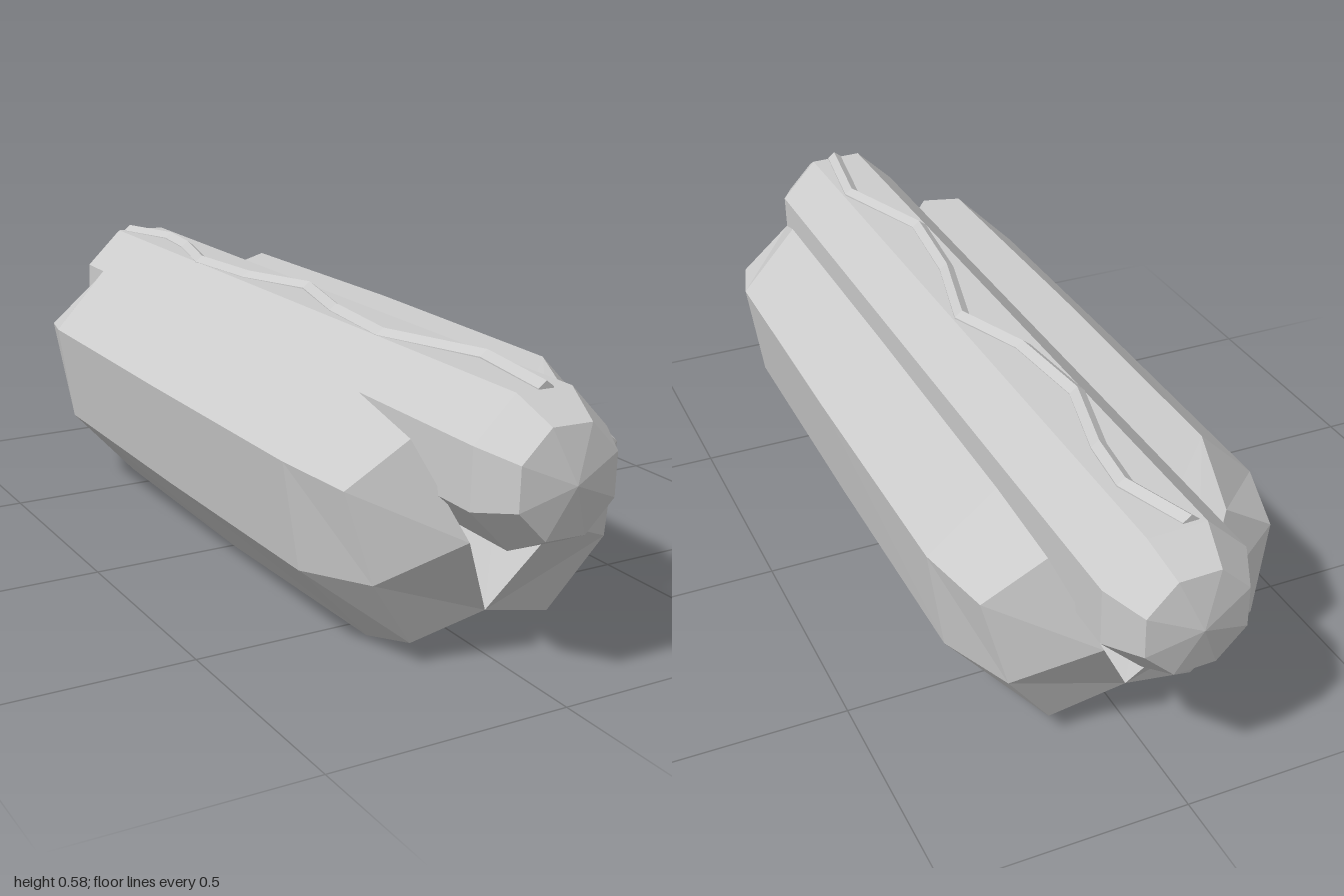
import * as THREE from 'three';

const material = new THREE.MeshStandardMaterial({ color: 0xcccccc, flatShading: true });

// Skins rings of [x, y, z] corners (anticlockwise seen from +z, ordered by rising z).
// Cap faces are lists of corner numbers, anticlockwise at the front end.
function loft(name, rings, capFaces) {
  const n = rings[0].length;
  const position = [];
  const index = [];
  rings.forEach(ring => ring.forEach(p => position.push(...p)));
  for (let i = 0; i < rings.length - 1; i++) {
    for (let j = 0; j < n; j++) {
      const a = i * n + j, b = i * n + (j + 1) % n;
      index.push(a, b, b + n, a, b + n, a + n);
    }
  }
  const last = (rings.length - 1) * n;
  for (const face of capFaces) {
    for (let k = 1; k < face.length - 1; k++) {
      const [a, b, c] = [face[0], face[k], face[k + 1]];
      index.push(last + a, last + b, last + c, a, c, b);
    }
  }
  const geometry = new THREE.BufferGeometry();
  geometry.setAttribute('position', new THREE.Float32BufferAttribute(position, 3));
  geometry.setIndex(index);
  const flat = geometry.toNonIndexed();
  flat.computeVertexNormals();
  const mesh = new THREE.Mesh(flat, material);
  mesh.name = name;
  return mesh;
}

// Bun: one half section from bottom middle, round the outside, to the inner fold
function createBun() {
  const middle = [[0, 0.02, 0], [0.17, 0, 0], [0.322, 0.175, 0], [0.357, 0.4, 0],
    [0.22, 0.537, 0], [0.11, 0.312, 0], [0, 0.09, 0]];
  const shoulder = [[0, 0.03, 0.58], [0.168, 0.01, 0.58], [0.32, 0.177, 0.58], [0.354, 0.4, 0.58],
    [0.219, 0.532, 0.6], [0.11, 0.31, 0.62], [0, 0.09, 0.6]];
  const end = [[0, 0.09, 0.74], [0.16, 0.05, 0.725], [0.265, 0.2, 0.76], [0.31, 0.38, 0.73],
    [0.187, 0.467, 0.755], [0.1, 0.275, 0.825], [0, 0.09, 0.74]];
  const ring = (half, side) => [
    ...half,
    ...half.slice(1, 6).reverse().map(([x, y, z]) => [-x, y, z])
  ].map(([x, y, z]) => [x, y, z * side]);
  return loft('bun',
    [ring(end, -1), ring(shoulder, -1), ring(middle, 1), ring(shoulder, 1), ring(end, 1)],
    [[6, 1, 2, 5], [5, 2, 3, 4], [6, 7, 10, 11], [7, 8, 9, 10]]);
}

// Sausage: eight-sided rod with rounded ends
function createSausage() {
  const stations = [[-1, 0], [-0.975, 0.113], [-0.89, 0.159], [0.89, 0.159], [0.975, 0.113], [1, 0]];
  const rings = stations.map(([z, r]) => Array.from({ length: 8 }, (_, i) => {
    const angle = (i + 0.47) * Math.PI / 4;
    return [r * Math.cos(angle), 0.421 + r * Math.sin(angle), z];
  }));
  return loft('sausage', rings, []);
}

// Sauce: ridged zigzag strip along the top of the sausage
function createSauce() {
  const path = [[-0.03, -0.88], [0.022, -0.73], [0.008, -0.6], [-0.042, -0.41], [-0.022, -0.2],
    [0.043, -0.03], [-0.014, 0.19], [-0.04, 0.42], [0.043, 0.66], [0.007, 0.89]];
  const w = 0.017;
  const rings = path.map(([x, z]) => [[x - w, 0.56, z], [x + w, 0.56, z],
    [x + w, 0.57, z], [x, 0.583, z], [x - w, 0.57, z]]);
  return loft('sauce', rings, [[0, 1, 2, 3, 4]]);
}

export function createModel() {
  const model = new THREE.Group();
  model.name = 'hotDog';
  model.add(createBun(), createSausage(), createSauce());
  return model;
}
